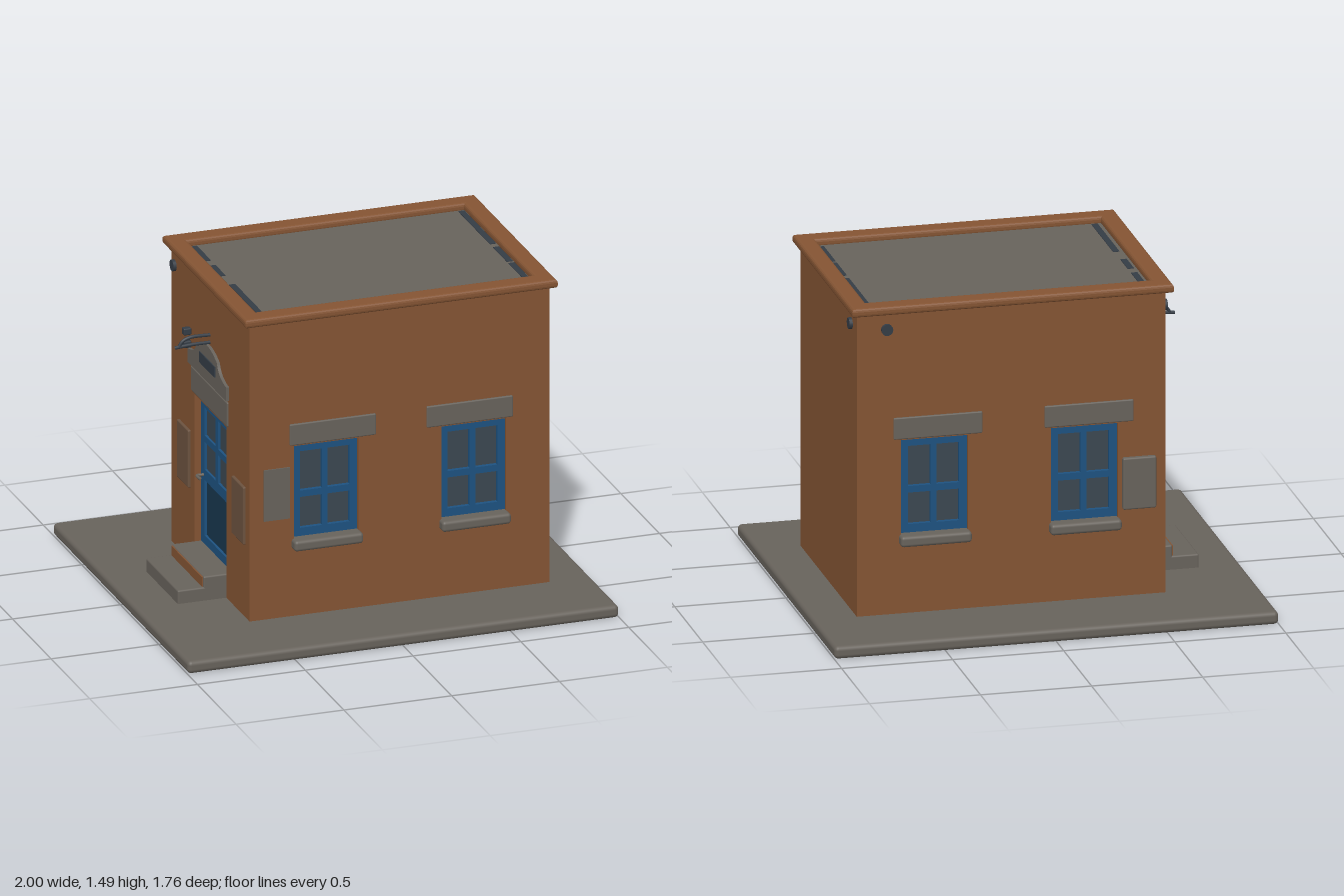
import * as THREE from 'three';
import { RoundedBoxGeometry } from 'three/addons/geometries/RoundedBoxGeometry.js';

const paint = (name, color) => {
  const m = new THREE.MeshStandardMaterial({ color });
  m.name = name;
  return m;
};
const adobe = paint('adobe', 0x845433);
const stone = paint('stone', 0x67625b);
const blue = paint('blue paint', 0x1d5280);
const navy = paint('dark blue panel', 0x18374e);
const glass = paint('glass', 0x3b4750);
const slate = paint('slate metal', 0x343c45);
const taupe = paint('worn board', 0x6b523f);

// Outer limits of the walls
const X0 = -0.585, X1 = 0.805, Z0 = -0.495, Z1 = 0.515, FLOOR = 0.05, TOP = 1.455, DEPTH = 0.05;

function add(parent, name, geometry, material, x = 0, y = 0, z = 0) {
  const mesh = new THREE.Mesh(geometry, material);
  mesh.name = name;
  mesh.position.set(x, y, z);
  parent.add(mesh);
  return mesh;
}

// Box given by its limits, optionally with rounded edges
function block(parent, name, material, [x0, x1], [y0, y1], [z0, z1], r = 0) {
  const size = [x1 - x0, y1 - y0, z1 - z0];
  const g = r ? new RoundedBoxGeometry(...size, 3, r) : new THREE.BoxGeometry(...size);
  return add(parent, name, g, material, (x0 + x1) / 2, (y0 + y1) / 2, (z0 + z1) / 2);
}

function rect(Type, x0, x1, y0, y1) {
  const p = new Type();
  p.moveTo(x0, y0).lineTo(x1, y0).lineTo(x1, y1).lineTo(x0, y1).closePath();
  return p;
}

// Rectangular sheet with rectangular holes
function sheet(outer, holes, depth, bevel = 0) {
  const shape = rect(THREE.Shape, ...outer);
  for (const h of holes) shape.holes.push(rect(THREE.Path, ...h));
  return new THREE.ExtrudeGeometry(shape, {
    depth, bevelEnabled: bevel > 0, bevelSize: bevel, bevelThickness: bevel, bevelSegments: 3,
  });
}

// A face group: local x runs along the wall, local z points outward
function face(parent, name, x, z, turn) {
  const g = new THREE.Group();
  g.name = name;
  g.position.set(x, 0, z);
  g.rotation.y = turn;
  parent.add(g);
  return g;
}

// Recessed four-pane window with sill and lintel
const windowHole = (c) => [c - 0.15, c + 0.15, 0.42, 0.855];
function addWindow(wall, c, lintelCentre) {
  const [a, b, y0, y1] = windowHole(c);
  const g = new THREE.Group();
  g.name = 'window';
  wall.add(g);
  block(g, 'windowGlass', glass, [a, b], [y0, y1], [-0.045, -0.037]);
  const panes = [];
  for (const [l, r] of [[a + 0.035, c - 0.013], [c + 0.013, b - 0.035]])
    for (const [d, u] of [[0.46, 0.605], [0.635, 0.82]]) panes.push([l, r, d, u]);
  add(g, 'windowFrame', sheet([a, b, y0, y1], panes, 0.02), blue, 0, 0, -0.037);
  block(g, 'sill', stone, [c - 0.16, c + 0.16], [0.372, 0.422], [-0.04, 0.045], 0.015);
  block(g, 'lintel', stone, [lintelCentre - 0.2, lintelCentre + 0.2], [0.86, 0.96], [-0.03, 0.008], 0.006);
}

// Round drain outlet on a wall
function addSpout(wall, u, y) {
  const s = add(wall, 'drainSpout', new THREE.CylinderGeometry(0.026, 0.026, 0.03, 16), slate, u, y, 0);
  s.rotation.x = Math.PI / 2;
}

function tube(parent, name, points, radius, material) {
  const curve = new THREE.CatmullRomCurve3(points.map((p) => new THREE.Vector3(...p)));
  return add(parent, name, new THREE.TubeGeometry(curve, 24, radius, 8), material);
}

export function createModel() {
  const model = new THREE.Group();
  model.name = 'adobeBuilding';

  // Paving slab
  block(model, 'pavement', stone, [-1, 1], [0, 0.058], [-0.88, 0.88], 0.02);

  // Solid core, roof and coping
  block(model, 'core', adobe, [X0 + DEPTH, X1], [FLOOR, 1.435], [Z0 + DEPTH, Z1 - DEPTH]);
  block(model, 'roof', stone, [-0.54, 0.76], [1.435, 1.455], [-0.45, 0.46]);
  const coping = add(model, 'coping', sheet([-0.6, 0.82, -0.52, 0.53],
    [[-0.545, 0.765, -0.425 - 0.03, 0.465]], 0.012, 0.014), adobe, 0, 1.459, 0);
  coping.rotation.x = Math.PI / 2;
  coping.scale.set(1, 1, -1);
  coping.geometry.scale(1, 1, -1);
  coping.scale.z = 1;
  coping.geometry.index === null && flip(coping.geometry);
  // Dark gutter patches along the roof ends
  for (const [x, z0, z1] of [[-0.505, -0.43, -0.25], [-0.505, -0.19, -0.06], [-0.5, 0.05, 0.44],
    [0.735, -0.43, -0.02], [0.735, 0.02, 0.2], [0.735, 0.22, 0.43]])
    block(model, 'gutterPatch', slate, [x - 0.014, x + 0.014], [1.452, 1.458], [z0, z1]);

  // Front wall
  const front = face(model, 'frontWall', 0, Z1, 0);
  add(front, 'frontWallPanel', sheet([X0, X1, FLOOR, TOP], [windowHole(-0.23), windowHole(0.455)], DEPTH),
    adobe, 0, 0, -DEPTH);
  addWindow(front, -0.23, -0.2);
  addWindow(front, 0.455, 0.435);
  block(front, 'noticeBoard', stone, [-0.52, -0.4], [0.52, 0.76], [-0.02, 0.006]);

  // Back wall, with local x mirrored
  const back = face(model, 'backWall', 0, Z0, Math.PI);
  add(back, 'backWallPanel', sheet([-X1, -X0, FLOOR, TOP], [windowHole(0.22), windowHole(-0.455)], DEPTH),
    adobe, 0, 0, -DEPTH);
  addWindow(back, 0.22, 0.24);
  addWindow(back, -0.455, -0.44);
  block(back, 'noticeBoard', stone, [0.39, 0.54], [0.457, 0.695], [-0.02, 0.02], 0.008);
  addSpout(back, -0.67, 1.37);

  // Plain left wall
  const left = face(model, 'leftWall', X1, 0, Math.PI / 2);
  addSpout(left, 0.4, 1.38);

  // Door wall
  const side = face(model, 'doorWall', X0, 0, -Math.PI / 2);
  const door = [-0.2, 0.215, 0.16, 0.86];
  add(side, 'doorWallPanel', sheet([Z0 + DEPTH, Z1 - DEPTH, FLOOR, TOP], [door], DEPTH), adobe, 0, 0, -DEPTH);
  const panes = [];
  for (const [l, r] of [[-0.15, -0.01], [0.025, 0.165]])
    for (const [d, u] of [[0.52, 0.65], [0.68, 0.81]]) panes.push([l, r, d, u]);
  add(side, 'doorFrame', sheet(door, [...panes, [-0.15, 0.165, 0.21, 0.47]], 0.012), blue, 0, 0, -0.042);
  block(side, 'doorGlass', glass, [-0.2, 0.215], [0.5, 0.86], [-0.049, -0.041]);
  block(side, 'doorPanel', navy, [-0.2, 0.215], [0.16, 0.5], [-0.049, -0.041]);
  tube(side, 'doorHandle', [[-0.165, 0.49, -0.03], [-0.165, 0.49, 0], [-0.11, 0.49, 0]], 0.007, stone);
  block(side, 'doorLintel', stone, [-0.23, 0.245], [0.87, 0.985], [-0.02, 0.008], 0.006);
  for (const [a, b] of [[-0.4, -0.25], [0.31, 0.465]])
    block(side, 'sideBoard', taupe, [a, b], [0.4, 0.67], [-0.02, 0.012], 0.006);
  addSpout(side, -0.455, 1.37);

  // Arched board above the door with a dark plate
  const arch = new THREE.Shape();
  arch.moveTo(-0.25, 0.995).lineTo(0.25, 0.995).lineTo(0.25, 1.06)
    .quadraticCurveTo(0.15, 1.07, 0.13, 1.13).quadraticCurveTo(0, 1.2, -0.13, 1.13)
    .quadraticCurveTo(-0.15, 1.07, -0.25, 1.06).closePath();
  add(side, 'archedBoard', new THREE.ExtrudeGeometry(arch, { depth: 0.014, bevelEnabled: false }), stone);
  block(side, 'darkPlate', slate, [-0.09, 0.11], [1.055, 1.105], [0.014, 0.019]);
  for (const y of [1.08, 1.14]) block(side, 'bracketKnob', slate, [-0.265, -0.235], [y - 0.016, y + 0.016], [0, 0.036], 0.006);

  // Curved iron bracket
  tube(side, 'bracketArm', [[0, 1.213, 0], [0, 1.213, 0.09], [0, 1.2, 0.125], [0, 1.172, 0.145]], 0.008, slate);
  tube(side, 'bracketBar', [[0, 1.178, 0], [0, 1.178, 0.08], [0, 1.172, 0.165]], 0.008, slate);

  // Entrance steps
  block(model, 'lowerStep', stone, [-0.81, X0 + 0.02], [0.05, 0.12], [-0.2, 0.215], 0.008);
  block(model, 'upperStep', stone, [-0.69, X0 + 0.04], [0.05, 0.17], [-0.2, 0.215], 0.008);
  block(model, 'stepRiser', adobe, [-0.695, -0.687], [0.12, 0.165], [-0.19, 0.205]);
  return model;
}

// Reverses the corner order of a mirrored geometry
function flip(geometry) {
  const p = geometry.attributes.position;
  const a = new THREE.Vector3(), b = new THREE.Vector3();
  for (let i = 0; i < p.count; i += 3) {
    a.fromBufferAttribute(p, i);
    b.fromBufferAttribute(p, i + 1);
    p.setXYZ(i, b.x, b.y, b.z);
    p.setXYZ(i + 1, a.x, a.y, a.z);
  }
  geometry.computeVertexNormals();
}
